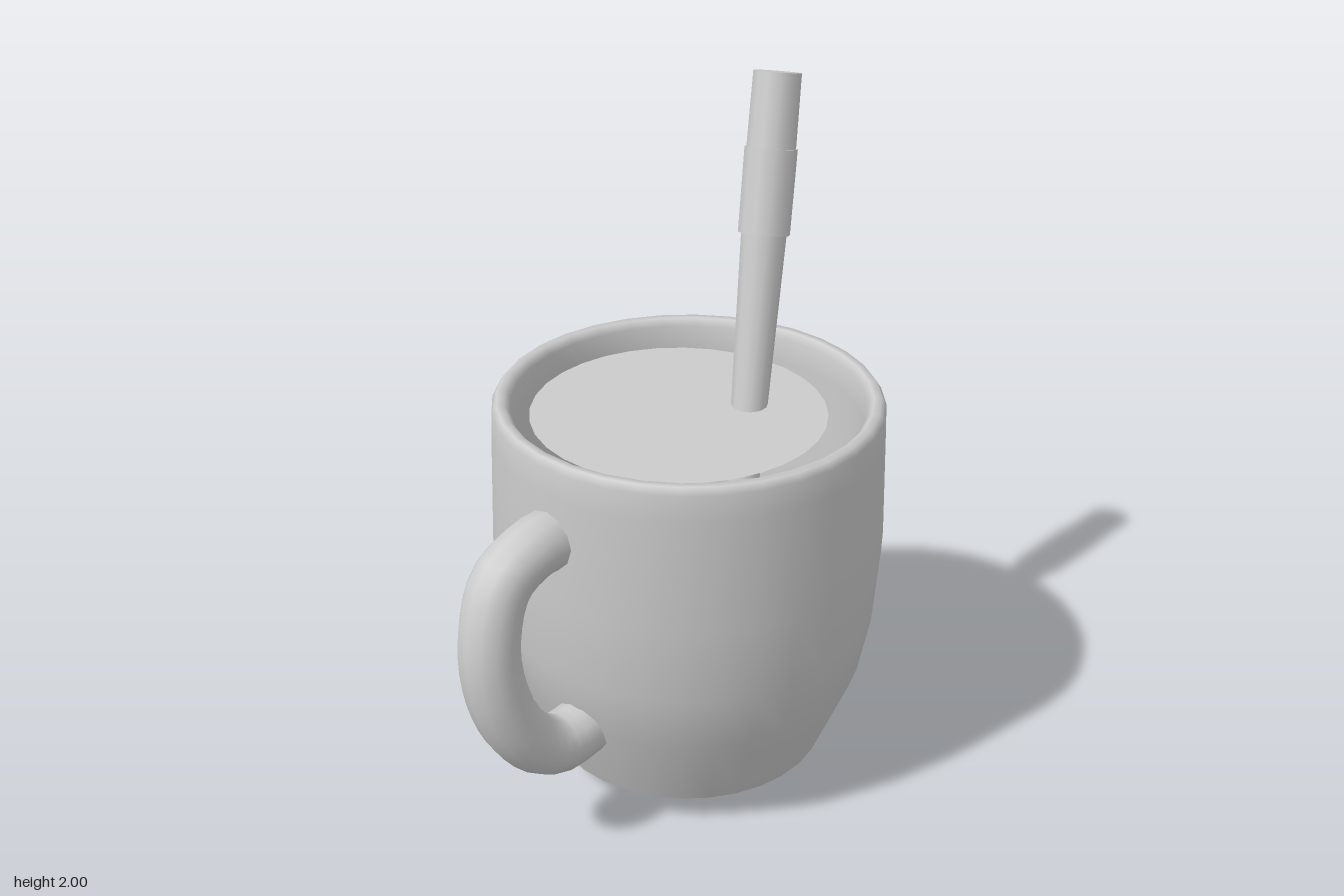
import * as THREE from 'three';

const material = new THREE.MeshStandardMaterial({ color: 0xcccccc, side: THREE.DoubleSide });
const vec = (p) => new THREE.Vector3(...p);

function addMesh(parent, name, geometry) {
  const mesh = new THREE.Mesh(geometry, material);
  mesh.name = name;
  parent.add(mesh);
  return mesh;
}

const lathe = (points, sides) =>
  new THREE.LatheGeometry(points.map(([r, y]) => new THREE.Vector2(r, y)), sides);

function createCup() {
  const cup = new THREE.Group();
  cup.name = 'cup';
  cup.position.z = -0.137;

  // Outer wall up, over the rounded rim, and down the inner wall
  addMesh(cup, 'cupWall', lathe([
    [0.405, 0.09], [0.508, 0.345], [0.54, 0.515], [0.557, 0.75], [0.548, 1.08],
    [0.545, 1.155], [0.532, 1.175], [0.51, 1.175], [0.494, 1.155], [0.49, 1.08],
    [0.49, 0.75], [0.47, 0.515], [0.43, 0.345], [0.34, 0.15],
  ], 32));

  const base = addMesh(cup, 'cupBase', new THREE.CircleGeometry(0.405, 32));
  base.rotation.x = Math.PI / 2;
  base.position.y = 0.09;

  const floor = addMesh(cup, 'cupFloor', new THREE.CircleGeometry(0.34, 32));
  floor.rotation.x = -Math.PI / 2;
  floor.position.y = 0.15;

  // Liquid surface, slightly off centre
  const liquid = addMesh(cup, 'liquid', new THREE.CircleGeometry(0.42, 32));
  liquid.rotation.x = -Math.PI / 2;
  liquid.position.set(-0.05, 1.09, -0.043);
  return cup;
}

// Bent handle, twisted a little to one side
function createHandle() {
  const path = new THREE.CatmullRomCurve3([
    [-0.155, 0.94, 0.34], [-0.185, 0.94, 0.43], [-0.225, 0.88, 0.54],
    [-0.23, 0.72, 0.605], [-0.21, 0.55, 0.6], [-0.175, 0.41, 0.54],
    [-0.135, 0.335, 0.45], [-0.09, 0.34, 0.31],
  ].map(vec));
  return new THREE.TubeGeometry(path, 24, 0.085, 12, false);
}

// Tapered stick leaning through the cup, with a thicker sleeve near the top
function createStick() {
  const stick = new THREE.Group();
  stick.name = 'stick';
  const bottom = vec([0.16, 0.008, -0.01]);
  const axis = vec([0.072, 1.98, -0.55]).sub(bottom);
  const length = axis.length();
  const sections = [
    // name, start, end (fractions of the length), start radius, end radius
    ['stickShaft', 0, 0.785, 0.026, 0.064],
    ['stickSleeve', 0.785, 0.9, 0.073, 0.074],
    ['stickEnd', 0.9, 1, 0.069, 0.067],
  ];
  for (const [name, from, to, r0, r1] of sections) {
    const section = addMesh(stick, name,
      new THREE.CylinderGeometry(r1, r0, (to - from) * length, 12));
    section.position.y = (from + to) / 2 * length;
  }
  stick.position.copy(bottom);
  stick.quaternion.setFromUnitVectors(new THREE.Vector3(0, 1, 0), axis.normalize());
  return stick;
}

export function createModel() {
  const model = new THREE.Group();
  model.name = 'cupWithStick';
  model.add(createCup(), createStick());
  addMesh(model, 'handle', createHandle());
  return model;
}
